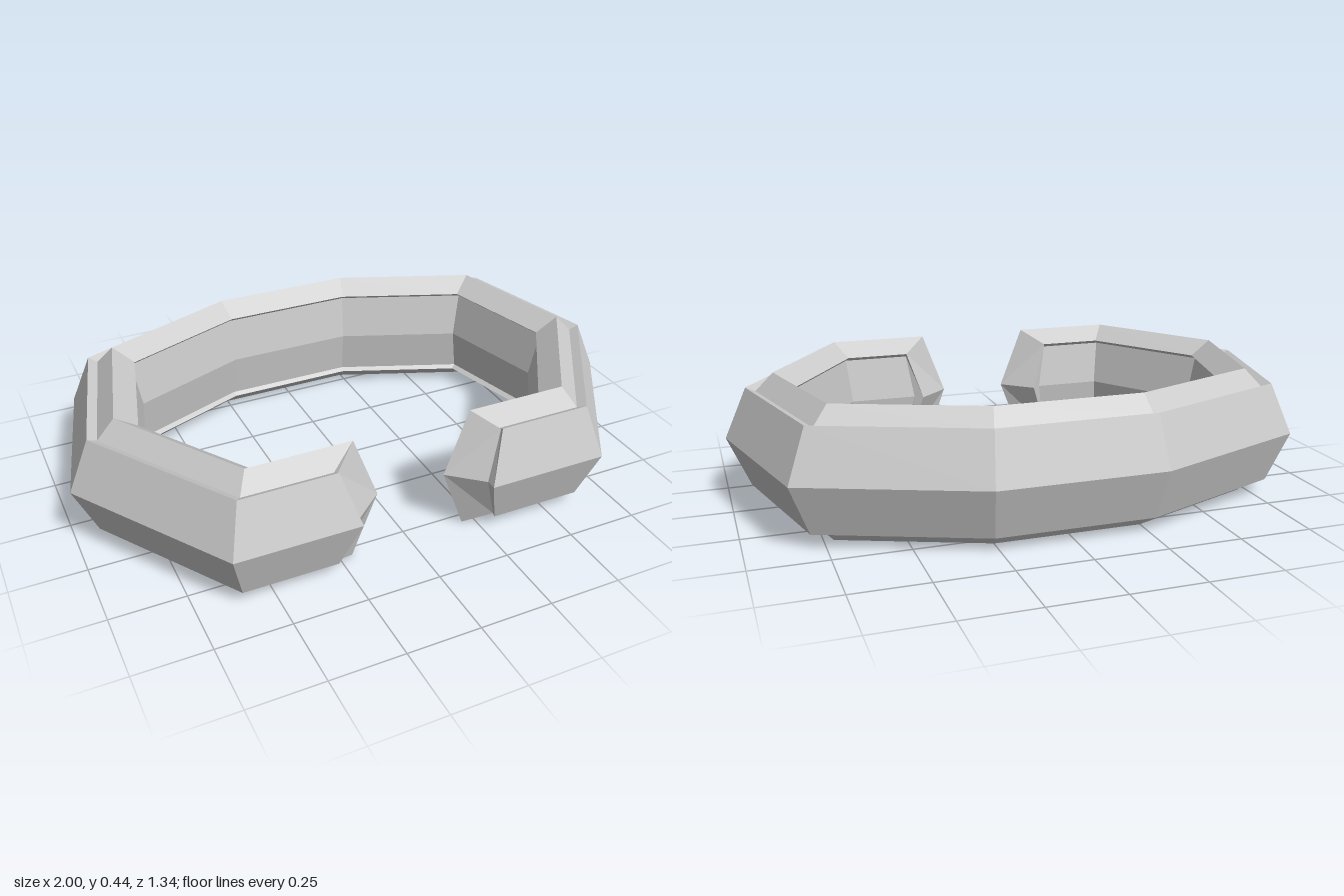
import * as THREE from 'three';

const HEIGHT = 0.445;
const STRETCH = 1.2; // the ring is wider than it is deep

// Upper half of the cross-section, [inward depth, y], outer ridge to inner ridge
const HALF = [
  [0, 0.2225], [0.06, 0.397], [0.086, 0.383], [0.134, HEIGHT],
  [0.195, 0.392], [0.182, 0.38], [0.207, 0.2225],
];
// x of each section point where the arm ends, and the raised end frame [x, depth, y]
const END_X = [0.23, 0.285, 0.29, 0.205, 0.285, 0.285, 0.26];
const FRAME = [
  [0.23, 0.035, 0.2225], [0.285, 0.07, 0.39], [0.285, 0.07, 0.39], [0.205, 0.134, HEIGHT],
  [0.285, 0.195, 0.392], [0.285, 0.195, 0.392], [0.23, 0.23, 0.2225],
];
const FRONT_Z = 0.67;
// Outer ridge corners of one side, from the open end to the back
const PATH = [[0.23, 0.67], [0.65, 0.67], [1, 0.13], [0.86, -0.44], [0.285, -0.67], [-0.285, -0.67]];

// Completes a half section by mirroring it in the horizontal mid-plane
function closeLoop(half) {
  const lower = half.slice(1, -1).reverse().map(p => new THREE.Vector3(p.x, HEIGHT - p.y, p.z));
  return [...half, ...lower];
}

// Mitred section at a corner of the path
function cornerRing(i) {
  const [a, b, c] = [PATH[i - 1], PATH[i], PATH[i + 1]].map(p => new THREE.Vector2(p[0] / STRETCH, p[1]));
  const d1 = b.clone().sub(a).normalize();
  const d2 = c.clone().sub(b).normalize();
  const n1 = new THREE.Vector2(d1.y, -d1.x);
  const n2 = new THREE.Vector2(d2.y, -d2.x);
  const miter = n1.clone().add(n2).divideScalar(1 + n1.dot(n2));
  return closeLoop(HALF.map(([d, y]) =>
    new THREE.Vector3((b.x + miter.x * d) * STRETCH, y, b.y + miter.y * d)));
}

const mirrorRing = ring => ring.map(p => new THREE.Vector3(-p.x, p.y, p.z));

// Joins successive rings with faceted quads, leaving out collapsed triangles
function skin(rings, name, material) {
  const pos = [];
  const tri = (a, b, c) => {
    const area = b.clone().sub(a).cross(c.clone().sub(a)).length();
    if (area > 1e-6) for (const p of [a, b, c]) pos.push(p.x, p.y, p.z);
  };
  for (let i = 0; i < rings.length - 1; i++) {
    const r = rings[i], s = rings[i + 1], n = r.length;
    for (let j = 0; j < n; j++) {
      const k = (j + 1) % n;
      tri(r[j], s[j], r[k]);
      tri(r[k], s[j], s[k]);
    }
  }
  const geometry = new THREE.BufferGeometry();
  geometry.setAttribute('position', new THREE.Float32BufferAttribute(pos, 3));
  geometry.computeVertexNormals();
  const mesh = new THREE.Mesh(geometry, material);
  mesh.name = name;
  return mesh;
}

export function createModel() {
  const group = new THREE.Group();
  group.name = 'openCuff';
  const material = new THREE.MeshStandardMaterial({ color: 0xcccccc, flatShading: true });

  // Faceted band, grooved on the outer and inner sides
  const end = closeLoop(HALF.map(([d, y], i) => new THREE.Vector3(END_X[i], y, FRONT_Z - d)));
  const side = [end, ...[1, 2, 3, 4].map(cornerRing)];
  group.add(skin([...side, ...side.map(mirrorRing).reverse()], 'band', material));

  // Pointed end caps either side of the opening
  const frame = closeLoop(FRAME.map(([x, d, y]) => new THREE.Vector3(x, y, FRONT_Z - d)));
  const tip = frame.map(() => new THREE.Vector3(0.12, HEIGHT / 2, 0.54));
  const cap = [tip, frame, end];
  group.add(skin(cap, 'leftEndCap', material));
  group.add(skin(cap.map(mirrorRing).reverse(), 'rightEndCap', material));
  return group;
}
